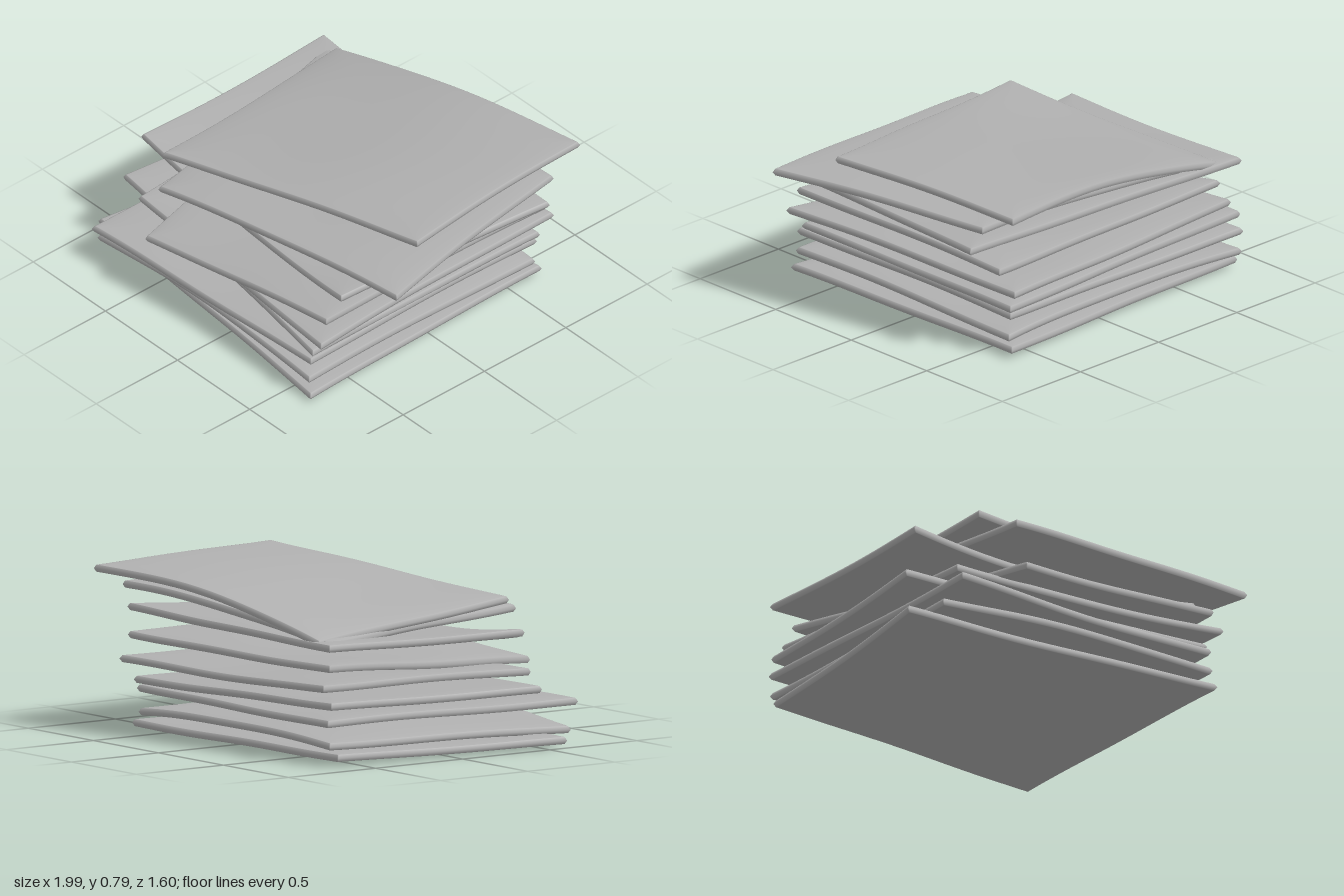
import * as THREE from 'three';
import { mergeVertices } from 'three/addons/utils/BufferGeometryUtils.js';

const THICK = 0.05;

// One sheet: its four corners [x, y, z] and how far the middle of its back and front edges rises or sags
const sheet = (backLeft, backRight, frontRight, frontLeft, backBend = 0, frontBend = 0) =>
  ({ backLeft, backRight, frontRight, frontLeft, backBend, frontBend });

// The stack from bottom to top, left and right as seen from the front
const makeStack = () => [
  sheet([-0.87, 0.06, -0.62], [0.63, 0.06, -0.68], [0.65, 0.05, 0.76], [-1, 0.05, 0.6]),
  sheet([-0.86, 0.12, -0.66], [0.62, 0.11, -0.65], [0.63, 0.13, 0.75], [-0.88, 0.09, 0.71], 0.02, 0.03),
  sheet([-0.86, 0.22, -0.67], [0.62, 0.23, -0.66], [0.63, 0.23, 0.74], [-0.83, 0.2, 0.79], -0.01, -0.01),
  sheet([-0.86, 0.3, -0.65], [0.63, 0.26, -0.67], [0.62, 0.26, 0.72], [-0.94, 0.29, 0.5]),
  sheet([-0.8, 0.38, -0.65], [0.66, 0.36, -0.73], [0.7, 0.355, 0.74], [-0.72, 0.35, 0.6], -0.015, -0.02),
  sheet([-0.78, 0.46, -0.6], [0.69, 0.47, -0.66], [0.68, 0.465, 0.69], [-0.46, 0.35, 0.79], -0.01),
  sheet([-0.86, 0.57, -0.66], [0.8, 0.57, -0.58], [0.66, 0.53, 0.58], [-0.86, 0.55, 0.46], 0, -0.05),
  sheet([-0.78, 0.57, -0.6], [0.77, 0.69, -0.63], [0.99, 0.7, 0.53], [-0.46, 0.6, 0.71], 0.02, 0.01),
  sheet([-0.74, 0.57, -0.63], [0.75, 0.785, -0.81], [0.84, 0.8, 0.27], [-0.58, 0.66, 0.58], 0.05),
];

// A soft padded sheet: a flat box bent between its corners and thinned at the rim
function sheetGeometry({ backLeft, backRight, frontRight, frontLeft, backBend, frontBend }, index) {
  let geo = new THREE.BoxGeometry(2, 2, 2, 30, 2, 30);
  geo.deleteAttribute('uv');
  geo.deleteAttribute('normal');
  geo = mergeVertices(geo);
  const pos = geo.attributes.position;
  const { lerp } = THREE.MathUtils;
  for (let i = 0; i < pos.count; i++) {
    const side = pos.getY(i);
    // crowd the grid towards the rim and tuck in its upper and lower edges
    const spread = (k) => Math.sin(k * Math.PI / 2) * (1 - 0.012 * Math.abs(side));
    const a = spread(pos.getX(i)), b = spread(pos.getZ(i));
    const u = (a + 1) / 2, w = (b + 1) / 2;
    const between = (k) => lerp(lerp(backLeft[k], backRight[k], u), lerp(frontLeft[k], frontRight[k], u), w);
    // edges drawn in slightly between the pointed corners
    const x = between(0) - 0.012 * a * (1 - b * b);
    const z = between(2) - 0.012 * b * (1 - a * a);
    const rim = Math.max(Math.abs(a), Math.abs(b));
    const half = THICK / 2 * (0.5 + 0.5 * Math.sqrt(Math.max(0, 1 - rim ** 8)));
    // bent edges and a gentle cloth ripple
    const bend = lerp(backBend, frontBend, w) * (1 - a * a);
    const ripple = 0.007 * Math.sin(5 * x + 2 * z + index * 2.1 + 2) * Math.cos(3 * z - x);
    pos.setXYZ(i, x, Math.max(0, between(1) + bend + ripple + side * half), z);
  }
  geo.computeVertexNormals();
  return geo;
}

export function createModel() {
  const group = new THREE.Group();
  group.name = 'sheetStack';
  const cloth = new THREE.MeshStandardMaterial({ color: 0xb0b0b0 });
  cloth.name = 'grey cloth';
  makeStack().forEach((part, i) => {
    const mesh = new THREE.Mesh(sheetGeometry(part, i), cloth);
    mesh.name = `sheet${i + 1}`;
    group.add(mesh);
  });
  return group;
}
